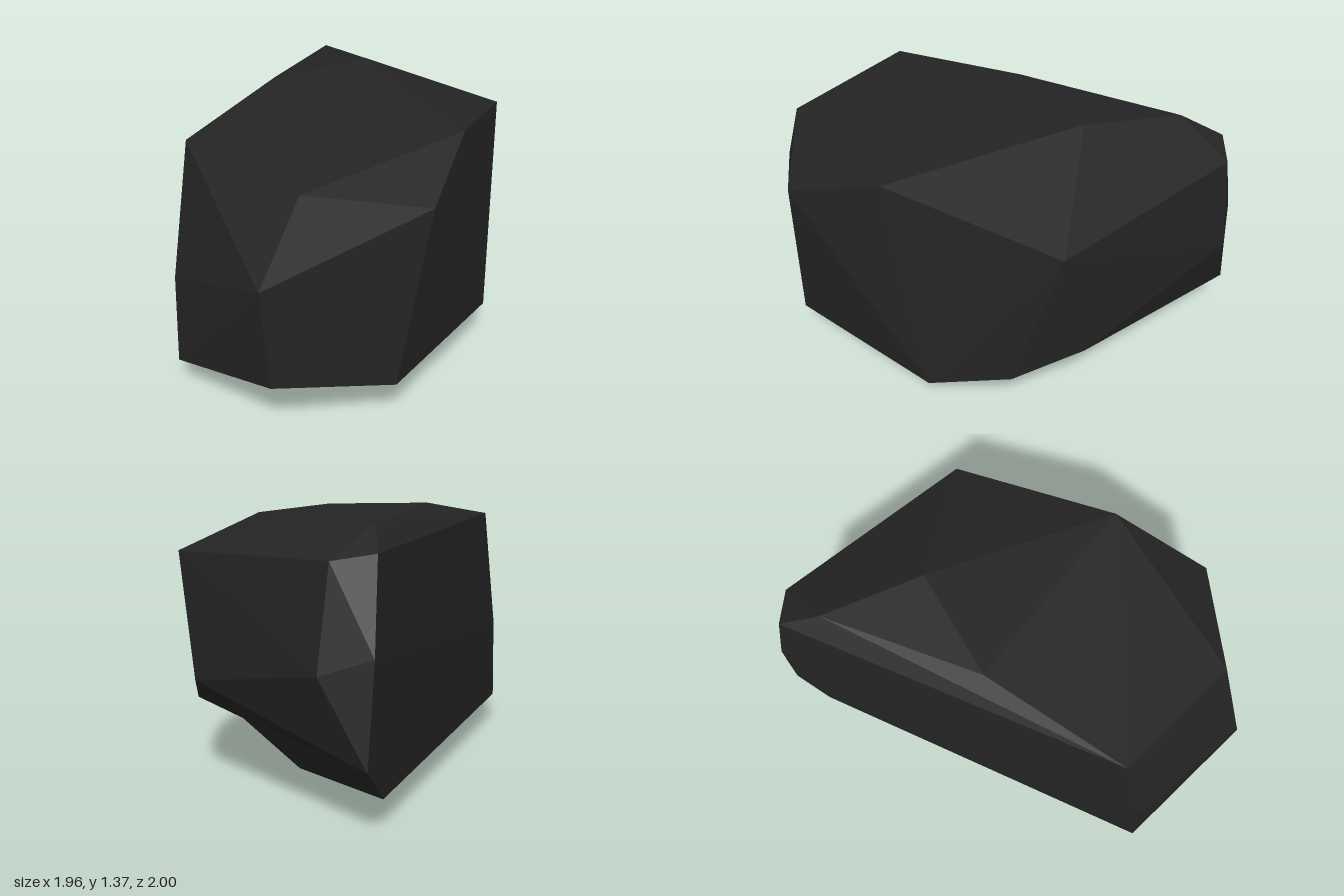
import * as THREE from 'three';
import { ConvexGeometry } from 'three/addons/geometries/ConvexGeometry.js';

const P = (x, y, z) => new THREE.Vector3(x, y, z);

// Corners of the boulder, ring by ring
const crown = [
  P(-0.06, 1.27, 0.84), P(0.65, 1.2, 0.75), P(0.98, 1.1, 0.26), P(0.74, 1.28, -0.2),
  P(0.31, 1.14, -0.98), P(-0.24, 1.37, -0.48), P(-0.32, 1.36, 0.1),
  P(-0.75, 1.31, -0.64), P(-0.92, 1.2, -0.78), P(-0.79, 1.17, -0.93),
];
const waist = [
  P(-0.02, 0.61, 0.98), P(0.63, 0.8, 0.97), P(0.16, 0.52, -1),
  P(-0.79, 0.7, -1), P(-0.98, 0.78, -0.85),
];
const foot = [
  P(-0.01, 0.15, 1), P(0.63, 0.28, 0.92), P(0.92, 0.21, 0.4), P(0.71, 0.21, -0.48),
  P(0.45, 0.35, -0.81), P(-0.98, 0.31, -0.89), P(-0.9, 0.14, -0.73),
];
const underside = [P(-0.08, 0.04, 0.55), P(-0.49, 0, -0.41), P(-0.26, 0.11, -0.69)];

// Hollows: hull corners that are pushed inwards afterwards
const hollows = [
  { from: P(0.3, 0.07, 0.47), to: P(0.3, 0.15, 0.47) },
  { from: P(0.16, 0.21, -0.77), to: P(0.16, 0.28, -0.73) },
];

function boulderGeometry() {
  const geometry = new ConvexGeometry([
    ...crown, ...waist, ...foot, ...underside, ...hollows.map((h) => h.from),
  ]);
  const pos = geometry.attributes.position;
  const v = new THREE.Vector3();
  for (let i = 0; i < pos.count; i++) {
    v.fromBufferAttribute(pos, i);
    for (const { from, to } of hollows) {
      if (v.distanceTo(from) < 1e-4) pos.setXYZ(i, to.x, to.y, to.z);
    }
  }
  geometry.computeVertexNormals(); // separate corners per face, so facets stay flat
  return geometry;
}

export function createModel() {
  const group = new THREE.Group();
  group.name = 'rock';
  const darkStone = new THREE.MeshStandardMaterial({ color: 0x242424 });
  darkStone.name = 'darkStone';
  const boulder = new THREE.Mesh(boulderGeometry(), darkStone);
  boulder.name = 'boulder';
  group.add(boulder);
  return group;
}
